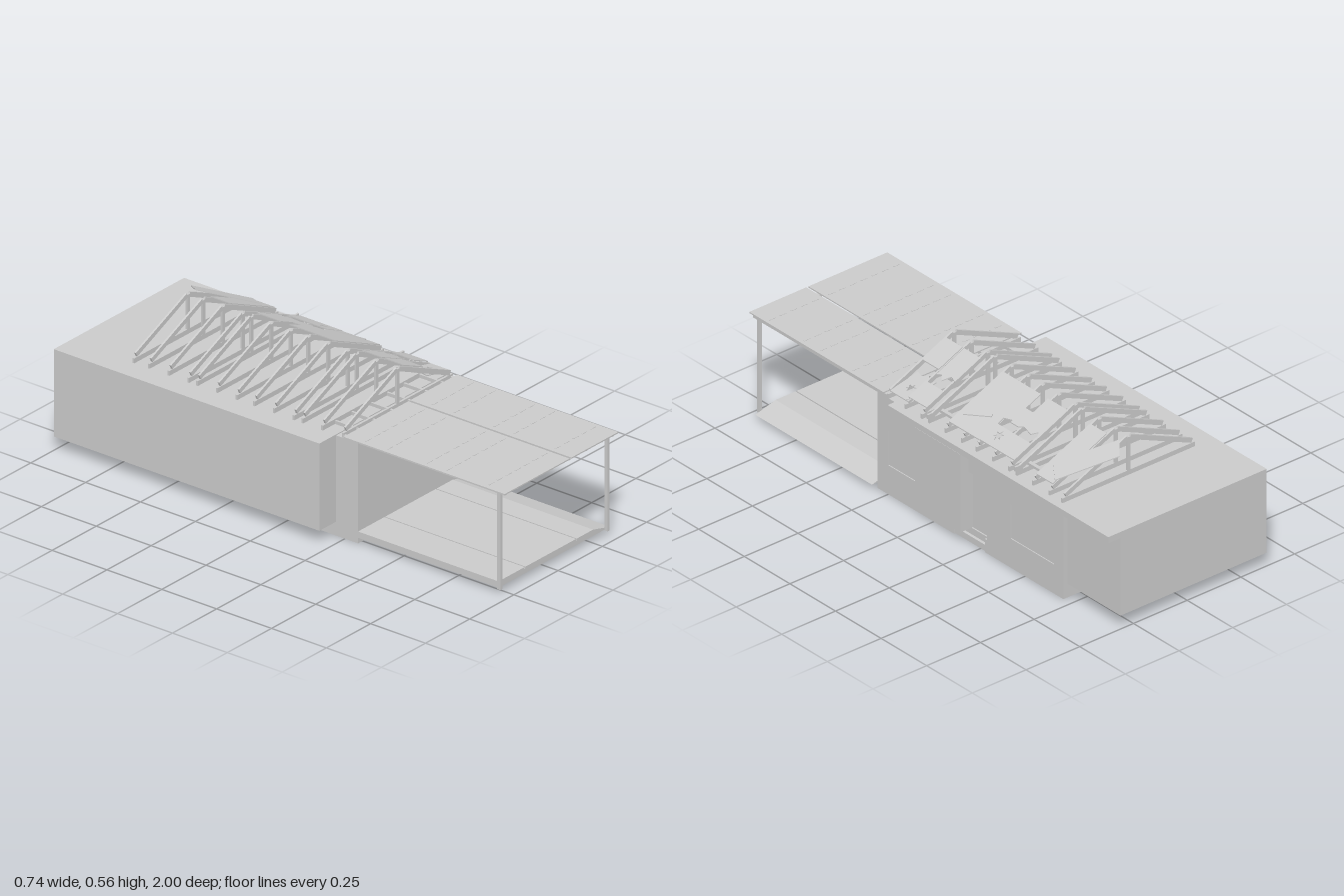
import * as THREE from 'three';

export function createModel() {
  const model = new THREE.Group();
  const mat = new THREE.MeshStandardMaterial({ color: 0xcccccc, flatShading: true, side: THREE.DoubleSide });

  const add = (name, geo, parent = model) => {
    const m = new THREE.Mesh(geo, mat);
    m.name = name;
    parent.add(m);
    return m;
  };
  // Box given by its minimum and maximum corners
  const box = (name, x0, x1, y0, y1, z0, z1, parent) => {
    const g = new THREE.BoxGeometry(x1 - x0, y1 - y0, z1 - z0);
    g.translate((x0 + x1) / 2, (y0 + y1) / 2, (z0 + z1) / 2);
    return add(name, g, parent);
  };
  const toShape = pts => new THREE.Shape(pts.map(p => new THREE.Vector2(p[0], p[1])));
  const extrude = (shape, depth) => new THREE.ExtrudeGeometry(shape, { depth, bevelEnabled: false });
  const rect = (x0, x1, y0, y1) => [[x0, y0], [x1, y0], [x1, y1], [x0, y1]];

  // House body
  box('houseBody', -0.275, 0.3, 0, 0.396, -0.71, 0.31);
  box('rearBlock', -0.37, 0.31, 0.055, 0.376, -1, 0.21);
  box('flatRoof', -0.37, 0.367, 0.375, 0.4, -1, 0.21);
  box('wallBay', 0.33, 0.368, 0.055, 0.376, -0.19, 0.06);

  // Side wall drawn as (-z, y), with a door recess above a step recess
  const wall = toShape([
    [-0.31, 0], [0.11, 0], [0.11, 0.055], [0.19, 0.055], [0.19, 0.29], [0.29, 0.29],
    [0.29, 0.055], [0.28, 0.055], [0.28, 0], [0.71, 0], [0.71, 0.396], [-0.31, 0.396],
  ]);
  const windows = [[-0.25, -0.07], [0.42, 0.66]];
  for (const [a, b] of windows) wall.holes.push(toShape(rect(a, b, 0.12, 0.26)));
  const wallGeo = extrude(wall, 0.03);
  wallGeo.rotateY(Math.PI / 2);
  wallGeo.translate(0.3, 0, 0);
  add('sideWall', wallGeo);
  for (const [a, b] of windows) box('windowPane', 0.3, 0.326, 0.12, 0.26, -b, -a);
  box('upperStep', 0.3, 0.312, 0, 0.052, -0.28, -0.11);
  box('lowerStep', 0.3, 0.324, 0, 0.025, -0.28, -0.11);

  // Porch floor: grooved boards with a sloping edge
  const floor = extrude(toShape([
    [-0.275, 0.022], [0.355, 0.022], [0.26, 0.047], [0.168, 0.047], [0.168, 0.04], [0.163, 0.04],
    [0.163, 0.047], [-0.122, 0.047], [-0.122, 0.04], [-0.127, 0.04], [-0.127, 0.047], [-0.275, 0.047],
  ]), 0.64);
  floor.translate(0, 0, 0.31);
  add('porchFloor', floor);

  // Porch posts and beams
  for (const x of [-0.283, 0.323]) {
    box('porchPost', x, x + 0.012, 0.02, 0.4, 0.95, 0.965);
    box('porchSideBeam', x, x + 0.012, 0.4, 0.412, 0.25, 0.985);
  }
  box('porchFrontBeam', -0.283, 0.335, 0.392, 0.402, 0.95, 0.965);
  for (const x of [-0.208, -0.115, -0.015, 0.085, 0.18, 0.27])
    box('porchJoist', x - 0.004, x + 0.004, 0.4, 0.413, 0.15, 0.985);

  // Porch roof: two sheets, with dashed seams as thin raised strips
  for (const [x0, x1] of [[-0.302, 0.065], [0.075, 0.34]]) {
    box('porchRoofSheet', x0, x1, 0.413, 0.418, 0.265, 1);
    for (const z of [0.35, 0.45, 0.63, 0.72, 0.91])
      for (let x = x0 + 0.02; x < x1 - 0.03; x += 0.05)
        box('roofSeam', x, x + 0.03, 0.418, 0.4195, z - 0.003, z + 0.003);
  }

  // Roof trusses: bottom chord, king post and two rafters
  const leftRafter = [[-0.262, 0.42], [0.025, 0.545], [0.018, 0.562], [-0.27, 0.437]];
  const rightRafter = [[0.03, 0.545], [0.318, 0.418], [0.327, 0.435], [0.037, 0.562]];
  for (const z of [-0.71, -0.64, -0.55, -0.46, -0.42, -0.33, -0.24, -0.16, -0.07, 0.02, 0.06, 0.15, 0.245]) {
    const truss = new THREE.Group();
    truss.name = 'roofTruss';
    box('bottomChord', -0.28, 0.337, 0.4, 0.419, -0.004, 0.004, truss);
    box('kingPost', 0.02, 0.035, 0.419, 0.555, -0.004, 0.004, truss);
    for (const pts of [leftRafter, rightRafter]) {
      const g = extrude(toShape(pts), 0.008);
      g.translate(0, 0, -0.004);
      add('rafter', g, truss);
    }
    truss.position.z = z;
    model.add(truss);
  }
  // Two longer rafter tails and loose rails
  for (const z of [-0.46, 0.02]) box('rafterTail', 0.31, 0.343, 0.419, 0.437, z - 0.004, z + 0.004);
  box('looseRail', 0.264, 0.279, 0.419, 0.429, -0.55, -0.43);
  box('looseRail', 0.264, 0.279, 0.419, 0.429, -0.07, 0.035);

  // Broken sheathing: outlines in (x, z) laid onto the right roof slope
  const sheet = (pts, holes = [], lift = 0, slope = 0.441) => {
    const shape = toShape(pts);
    for (const [cx, cz] of holes) {
      const star = [];
      for (let i = 0; i < 12; i++) {
        const a = i * Math.PI / 6, r = i % 2 ? 0.01 : 0.022;
        star.push([cx + r * Math.cos(a), cz + r * Math.sin(a)]);
      }
      shape.holes.push(toShape(star));
    }
    const g = extrude(shape, 0.004);
    g.rotateX(Math.PI / 2);
    const p = g.attributes.position;
    for (let i = 0; i < p.count; i++)
      p.setY(i, p.getY(i) + 0.567 + lift - slope * (p.getX(i) - 0.037));
    g.computeVertexNormals();
    add('sheathing', g);
  };
  sheet(rect(0.07, 0.32, -0.64, -0.55));
  sheet([[0.12, -0.77], [0.31, -0.64], [0.26, -0.57], [0.07, -0.71]], [], 0.006);
  sheet([
    [0.07, -0.43], [0.22, -0.43], [0.19, -0.41], [0.21, -0.39], [0.2, -0.34], [0.21, -0.32],
    [0.21, -0.28], [0.14, -0.28], [0.14, -0.32], [0.07, -0.32],
  ]);
  sheet(rect(0.24, 0.32, -0.43, -0.24), [[0.275, -0.29]], 0.002);
  sheet([
    [0.07, -0.28], [0.2, -0.28], [0.21, -0.24], [0.32, -0.25], [0.32, -0.07], [0.07, -0.07],
  ]);
  sheet([
    [0.07, 0.05], [0.19, 0.05], [0.18, 0.08], [0.21, 0.1], [0.19, 0.12], [0.2, 0.14], [0.07, 0.14],
  ]);
  sheet(rect(0.24, 0.32, 0.05, 0.15), [], 0.002);
  sheet(rect(0.07, 0.18, 0.15, 0.24));
  sheet([
    [0.2, 0.14], [0.33, 0.14], [0.33, 0.24], [0.2, 0.24], [0.21, 0.21], [0.19, 0.19], [0.21, 0.17],
  ], [[0.275, 0.19]], -0.07, 0.22);
  // Loose stick lying on the sheathing
  sheet([[0.225, -0.2], [0.235, -0.205], [0.28, -0.1], [0.27, -0.095]], [], 0.01);

  return model;
}
